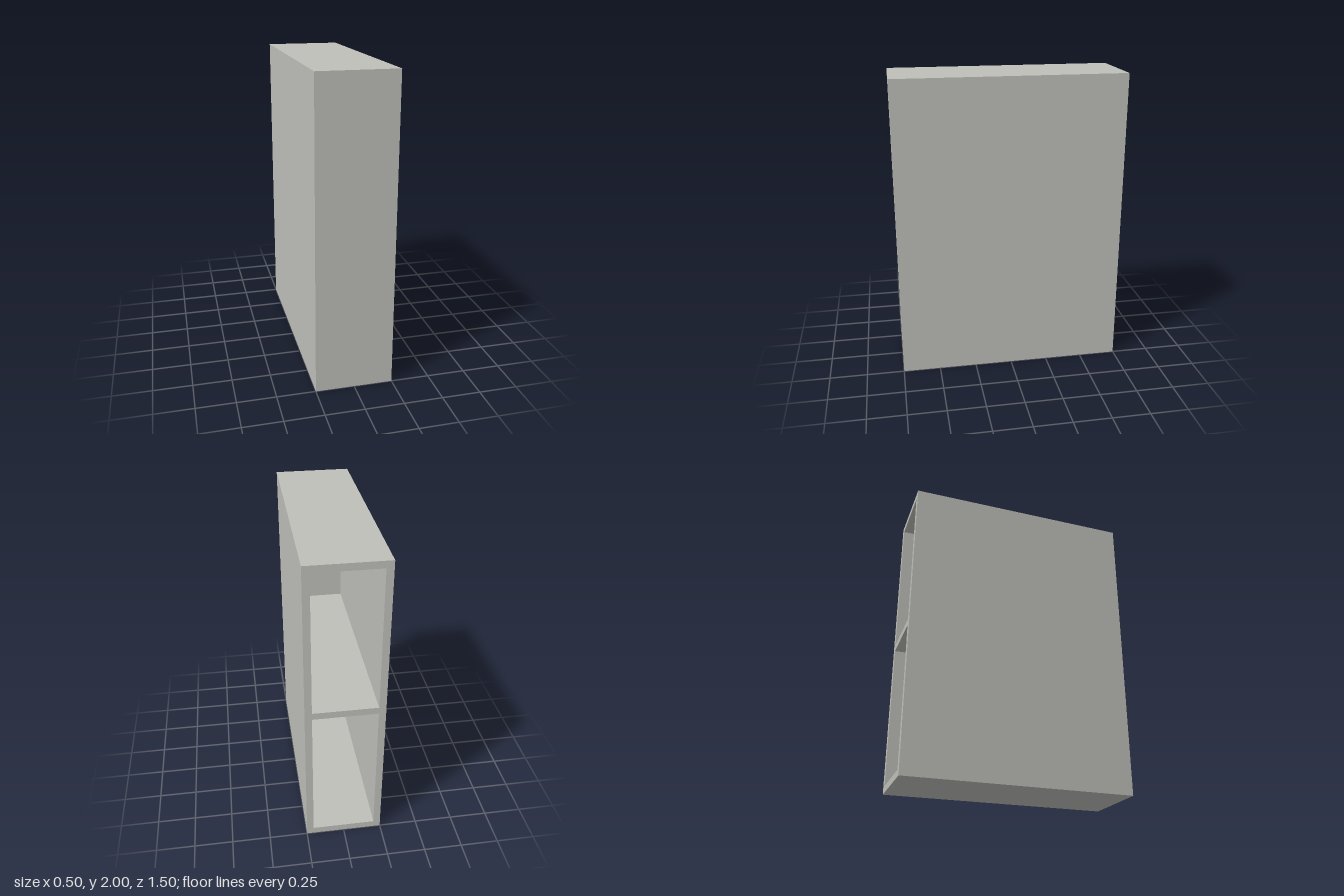
import * as THREE from 'three';

const W = 0.5, H = 2, D = 1.5, T = 0.045; // outer size and board thickness

// Rectangle outline, given its left, bottom, right and top
function rect(Type, x0, y0, x1, y1) {
  const path = new Type();
  path.moveTo(x0, y0);
  path.lineTo(x1, y0);
  path.lineTo(x1, y1);
  path.lineTo(x0, y1);
  path.closePath();
  return path;
}

export function createModel() {
  const model = new THREE.Group();
  model.name = 'cabinet';

  const paint = new THREE.MeshStandardMaterial({ color: 0xbfbfba });
  paint.name = 'warm grey';

  // Sides, top, bottom and middle shelf: a frame with two equal bays
  const outline = rect(THREE.Shape, -W / 2, 0, W / 2, H);
  const bay = (H - 3 * T) / 2;
  for (let i = 0; i < 2; i++) {
    const y = T + i * (bay + T);
    outline.holes.push(rect(THREE.Path, -W / 2 + T, y, W / 2 - T, y + bay));
  }
  const frame = new THREE.Mesh(
    new THREE.ExtrudeGeometry(outline, { depth: D - T, bevelEnabled: false }),
    paint
  );
  frame.name = 'shelfFrame';
  frame.position.z = -D / 2;
  model.add(frame);

  // Closed front; the bays open to the back
  const panel = new THREE.Mesh(new THREE.BoxGeometry(W, H, T), paint);
  panel.name = 'frontPanel';
  panel.position.set(0, H / 2, D / 2 - T / 2);
  model.add(panel);

  return model;
}
